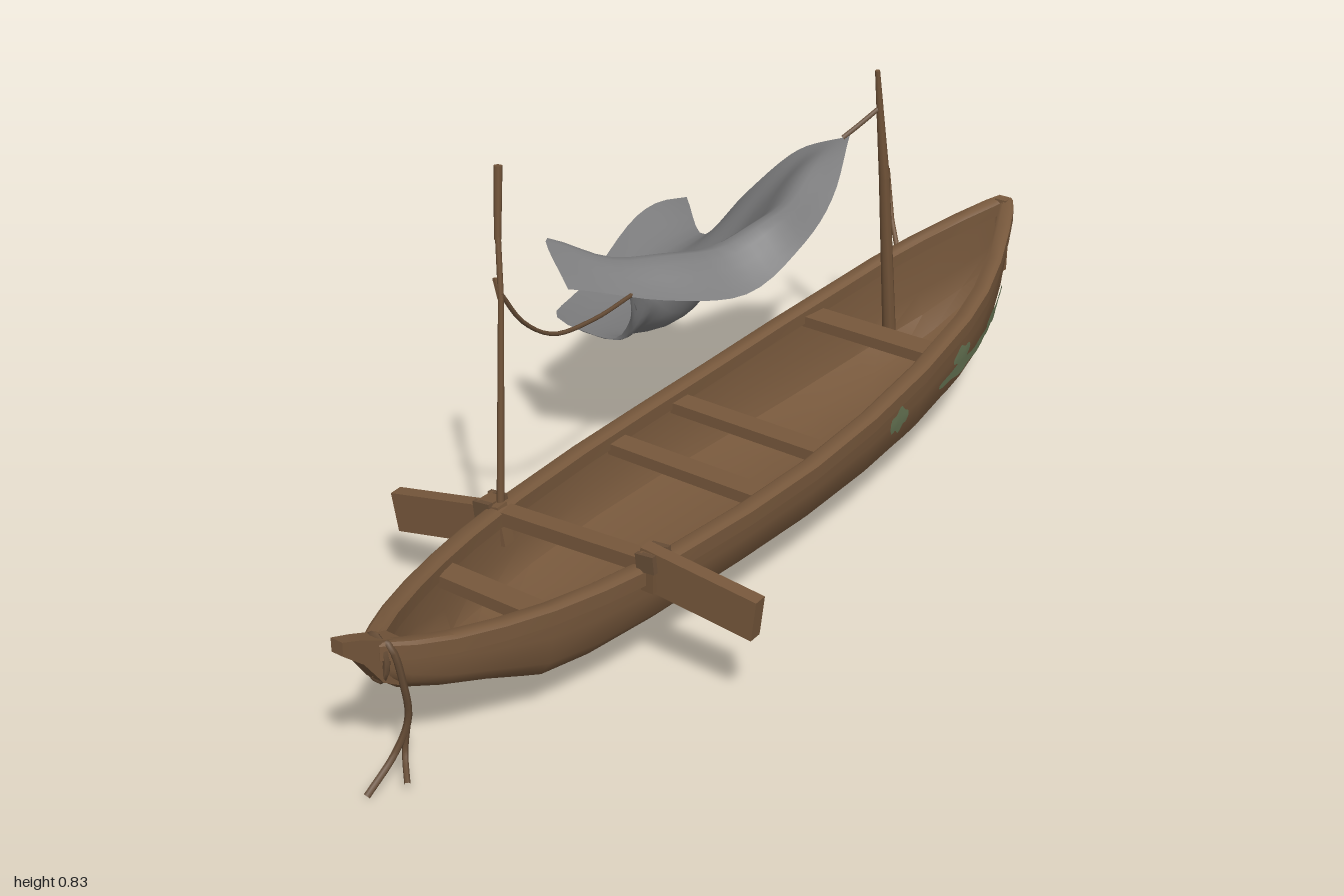
import * as THREE from 'three';
import { toCreasedNormals } from 'three/addons/utils/BufferGeometryUtils.js';

const CX = 0.1; // hull centre line
// hull stations: z, half width, rail height, keel height
const STATIONS = [
  [-1, 0.014, 0.343, 0.19], [-0.97, 0.028, 0.337, 0.155], [-0.9, 0.059, 0.322, 0.115],
  [-0.8, 0.098, 0.3, 0.08], [-0.7, 0.128, 0.28, 0.062], [-0.6, 0.147, 0.263, 0.05],
  [-0.4, 0.171, 0.242, 0.037], [-0.2, 0.184, 0.227, 0.037], [0, 0.19, 0.22, 0.043],
  [0.2, 0.186, 0.22, 0.05], [0.4, 0.172, 0.222, 0.052], [0.55, 0.149, 0.228, 0.05],
  [0.65, 0.127, 0.233, 0.058], [0.74, 0.1, 0.24, 0.1], [0.82, 0.07, 0.248, 0.13],
  [0.88, 0.04, 0.257, 0.16], [0.93, 0.014, 0.268, 0.205],
];
// outer half section: fraction of width, fraction of height
const SECTION = [[0, 0], [0.5, 0.13], [0.78, 0.23], [0.93, 0.39], [0.99, 0.68], [1, 1]];

const lerp = THREE.MathUtils.lerp;

function stationAt(z) {
  let i = 0;
  while (i < STATIONS.length - 2 && STATIONS[i + 1][0] < z) i++;
  const a = STATIONS[i], b = STATIONS[i + 1], t = (z - a[0]) / (b[0] - a[0]);
  return a.map((v, k) => lerp(v, b[k], t));
}

// half width of the planking at a given z and height
function sideX(z, y) {
  const [, w, r, k] = stationAt(z);
  const f = THREE.MathUtils.clamp((y - k) / (r - k), 0, 1);
  let i = 0;
  while (i < SECTION.length - 2 && SECTION[i + 1][1] < f) i++;
  const a = SECTION[i], b = SECTION[i + 1];
  return w * lerp(a[0], b[0], (f - a[1]) / (b[1] - a[1]));
}

// skin over closed counter-clockwise rings that advance along +z
function loft(rings, crease = 0.7) {
  const n = rings[0].length, idx = [];
  for (let i = 0; i < rings.length - 1; i++) for (let j = 0; j < n; j++) {
    const a = i * n + j, b = i * n + (j + 1) % n, c = b + n, d = a + n;
    idx.push(a, b, d, b, c, d);
  }
  const e = (rings.length - 1) * n;
  for (let j = 1; j < n - 1; j++) idx.push(0, j + 1, j, e, e + j, e + j + 1);
  const g = new THREE.BufferGeometry();
  g.setAttribute('position', new THREE.Float32BufferAttribute(rings.flat(2), 3));
  g.setIndex(idx);
  return toCreasedNormals(g, crease);
}

// open grid of points
function sheet(rows) {
  const n = rows[0].length, idx = [];
  for (let i = 0; i < rows.length - 1; i++) for (let j = 0; j < n - 1; j++) {
    const a = i * n + j;
    idx.push(a, a + n, a + 1, a + 1, a + n, a + n + 1);
  }
  const g = new THREE.BufferGeometry();
  g.setAttribute('position', new THREE.Float32BufferAttribute(rows.flat(2), 3));
  g.setIndex(idx);
  g.computeVertexNormals();
  return g;
}

const V = (p) => new THREE.Vector3(...p);
const smooth = (pts, n) => new THREE.CatmullRomCurve3(pts.map(V)).getPoints(n).map((p) => p.toArray());

export function createModel() {
  const model = new THREE.Group();
  const material = (name, color, side = THREE.FrontSide) => {
    const m = new THREE.MeshStandardMaterial({ color, side });
    m.name = name;
    return m;
  };
  const wood = material('wood', 0x77583c);
  const darkWood = material('dark wood', 0x725439);
  const rope = material('rope', 0x684e37);
  const cloth = material('grey cloth', 0x7c7c7d, THREE.DoubleSide);
  const moss = material('faded green paint', 0x697856, THREE.DoubleSide);

  const add = (name, geo, mat) => {
    const m = new THREE.Mesh(geo, mat);
    m.name = name;
    model.add(m);
    return m;
  };
  // squared timber between two points
  const beam = (name, a, b, w, h, mat = wood) => {
    const m = add(name, new THREE.BoxGeometry(w, h, V(a).distanceTo(V(b))), mat);
    m.position.copy(V(a).add(V(b)).multiplyScalar(0.5));
    m.lookAt(V(b));
  };
  // tapered round pole between two points
  const pole = (name, a, b, ra, rb) => {
    const d = V(b).sub(V(a));
    const m = add(name, new THREE.CylinderGeometry(rb, ra, d.length(), 8), darkWood);
    m.position.copy(V(a).addScaledVector(d, 0.5));
    m.quaternion.setFromUnitVectors(new THREE.Vector3(0, 1, 0), d.normalize());
  };
  const cord = (name, pts, r) =>
    add(name, new THREE.TubeGeometry(new THREE.CatmullRomCurve3(pts.map(V)), 20, r, 6), rope);

  // hull shell, outside and inside in one skin
  add('hull', loft(STATIONS.map(([z, w, r, k], i) => {
    const end = i === 0 || i === STATIONS.length - 1;
    const iw = Math.max(w - 0.018, 0.003), floor = end ? r - 0.02 : Math.min(k + 0.025, r - 0.03);
    const outer = SECTION.map(([fx, fy]) => [fx * w, k + fy * (r - k)]);
    const inner = [[iw, r], [iw * 0.97, lerp(floor, r, 0.4)], [iw * 0.85, lerp(floor, r, 0.14)], [iw * 0.5, floor]];
    const half = [...outer, ...inner];
    const mirror = half.slice(1).reverse().map(([x, y]) => [-x, y]);
    return [...half, ...mirror].map(([x, y]) => [CX + x, y, z]);
  })), wood);

  // gunwales along both edges
  for (const s of [1, -1]) {
    add(s > 0 ? 'leftGunwale' : 'rightGunwale', loft(STATIONS.map(([z, w, r]) => {
      const x = CX + s * (w - 0.008), hw = Math.min(0.017, w * 0.9);
      return [[-hw, -0.026], [hw, -0.026], [hw, 0], [hw * 0.6, 0.005], [-hw * 0.6, 0.005], [-hw, 0]]
        .map(([dx, dy]) => [x + dx, r + dy, z]);
    })), wood);
  }

  // thwarts
  for (const [z, d] of [[-0.49, 0.055], [-0.08, 0.045], [0.11, 0.045], [0.645, 0.045]]) {
    const [, w, r] = stationAt(z);
    beam('thwart', [CX - w + 0.012, r - 0.025, z], [CX + w - 0.012, r - 0.025, z], d, 0.022);
  }
  beam('oarBeam', [-0.07, 0.212, 0.445], [0.275, 0.232, 0.445], 0.035, 0.026);

  // stem head and stern post
  const stem = (z, hw, y0, y1) => [[-hw, y0], [hw, y0], [hw, y1], [-hw, y1]].map(([x, y]) => [CX + x, y, z]);
  add('stemHead', loft([stem(0.88, 0.02, 0.17, 0.258), stem(0.925, 0.018, 0.2, 0.277), stem(0.96, 0.014, 0.25, 0.294), stem(1, 0.012, 0.285, 0.31)]), wood);
  beam('sternPost', [CX, 0.185, -0.988], [CX, 0.347, -0.99], 0.026, 0.022);

  // oars with their locks and lashings
  beam('rightOar', [-0.04, 0.198, 0.45], [-0.274, 0.154, 0.465], 0.026, 0.074);
  beam('leftOar', [0.25, 0.225, 0.445], [0.474, 0.198, 0.437], 0.026, 0.075);
  for (const [x, y] of [[-0.077, 0.2], [0.272, 0.222]]) {
    beam('oarLock', [x, y - 0.035, 0.445], [x, y + 0.035, 0.445], 0.028, 0.04, darkWood);
    for (const dz of [-0.02, 0.02]) beam('lashing', [x - 0.018, y + 0.018, 0.445 + dz], [x + 0.018, y + 0.022, 0.445 + dz], 0.01, 0.032, rope);
  }

  // front pole, rear mast and stern pole
  pole('frontPoleLower', [-0.058, 0.2, 0.443], [-0.068, 0.6, 0.41], 0.007, 0.005);
  pole('frontPoleUpper', [-0.068, 0.6, 0.41], [-0.082, 0.72, 0.396], 0.005, 0.005);
  pole('frontPoleTip', [-0.081, 0.7, 0.398], [-0.086, 0.825, 0.385], 0.006, 0.0075);
  beam('poleSplinter', [-0.07, 0.6, 0.41], [-0.08, 0.635, 0.41], 0.006, 0.006, darkWood);
  pole('mastLower', [0.012, 0.13, -0.7], [0.008, 0.48, -0.664], 0.014, 0.011);
  pole('mastUpper', [0.008, 0.48, -0.664], [0.001, 0.71, -0.635], 0.011, 0.005);
  pole('sternPole', [-0.02, 0.2, -0.8], [-0.07, 0.31, -0.83], 0.006, 0.005);
  pole('sternPoleTip', [-0.07, 0.31, -0.83], [-0.102, 0.41, -0.852], 0.005, 0.0075);

  // torn sail: control rows from the hoisted edge to the trailing edge
  const control = [
    [[-0.2, 0.455, 0.075], [-0.04, 0.455, 0.01], [0.045, 0.435, -0.12], [0.07, 0.48, -0.27], [0.045, 0.53, -0.42], [-0.02, 0.59, -0.575]],
    [[-0.31, 0.497, 0.0], [-0.15, 0.495, -0.03], [-0.06, 0.495, -0.15], [0.0, 0.53, -0.27], [-0.02, 0.56, -0.42], [-0.06, 0.578, -0.56]],
    [[-0.24, 0.47, -0.02], [-0.16, 0.44, -0.08], [-0.11, 0.41, -0.15], [-0.09, 0.42, -0.27], [-0.11, 0.48, -0.42], [-0.12, 0.545, -0.535]],
    [[-0.19, 0.43, -0.06], [-0.15, 0.38, -0.1], [-0.15, 0.32, -0.14], [-0.16, 0.31, -0.28], [-0.2, 0.38, -0.4], [-0.205, 0.455, -0.49]],
    [[-0.18, 0.4, -0.08], [-0.2, 0.29, -0.11], [-0.3, 0.245, -0.16], [-0.32, 0.26, -0.28], [-0.34, 0.3, -0.4], [-0.32, 0.325, -0.51]],
    [[-0.17, 0.36, -0.09], [-0.25, 0.265, -0.13], [-0.46, 0.225, -0.2], [-0.455, 0.27, -0.32], [-0.48, 0.335, -0.5], [-0.46, 0.33, -0.64]],
  ];
  const rows = control.map((r) => smooth(r, 24));
  const columns = rows[0].map((_, j) => smooth(rows.map((r) => r[j]), 24));
  // soft creases across the cloth
  const creased = columns.map((c, j) => c.map(([x, y, z], i) =>
    [x, y + 0.004 * Math.sin(j * 0.95 + 0.25 * i) * Math.sin(i * 0.3 + 0.4), z]));
  add('sail', sheet(creased), cloth);

  // ropes holding the sail
  cord('frontSailRope', [[-0.068, 0.61, 0.41], [-0.066, 0.54, 0.36], [-0.066, 0.485, 0.28], [-0.072, 0.465, 0.16], [-0.09, 0.457, 0.03]], 0.004);
  cord('rearSailRope', [[-0.03, 0.585, -0.565], [-0.015, 0.605, -0.6], [0.002, 0.63, -0.645]], 0.005);

  // mooring rope hanging from the bow
  cord('mooringRope', [[0.09, 0.262, 0.915], [0.125, 0.265, 0.915], [0.135, 0.19, 0.9], [0.125, 0.11, 0.885], [0.11, 0.05, 0.905], [0.105, 0.005, 0.965]], 0.006);
  cord('mooringRopeEnd', [[0.125, 0.11, 0.885], [0.12, 0.05, 0.89], [0.15, 0.022, 0.92]], 0.005);
  add('bowLoop', new THREE.TorusGeometry(0.022, 0.006, 6, 14).scale(1, 1.7, 1).translate(CX, 0.236, 0.92), rope);

  // worn paint on the left side: start z, end z, middle height, half height
  [[-0.27, -0.34, 0.175, 0.027], [-0.48, -0.7, 0.165, 0.016], [-0.54, -0.62, 0.195, 0.021],
    [-0.66, -0.78, 0.172, 0.011], [-0.74, -0.92, 0.184, 0.017]].forEach(([z0, z1, y, h], p) => {
    const strip = [];
    for (let i = 0; i <= 16; i++) {
      const t = i / 16, z = lerp(z0, z1, t), s = Math.sqrt(Math.sin(Math.PI * t) + 0.05);
      const lo = y - h * s * (0.85 + 0.2 * Math.sin(i * 0.9 + p)), hi = y + h * s * (0.85 + 0.2 * Math.cos(i * 0.7 + p));
      strip.push([0, 1, 2, 3].map((k) => {
        const yy = lerp(lo, hi, k / 3);
        return [CX + sideX(z, yy) + 0.005, yy, z];
      }));
    }
    add('paintPatch', sheet(strip), moss);
  });

  return model;
}
